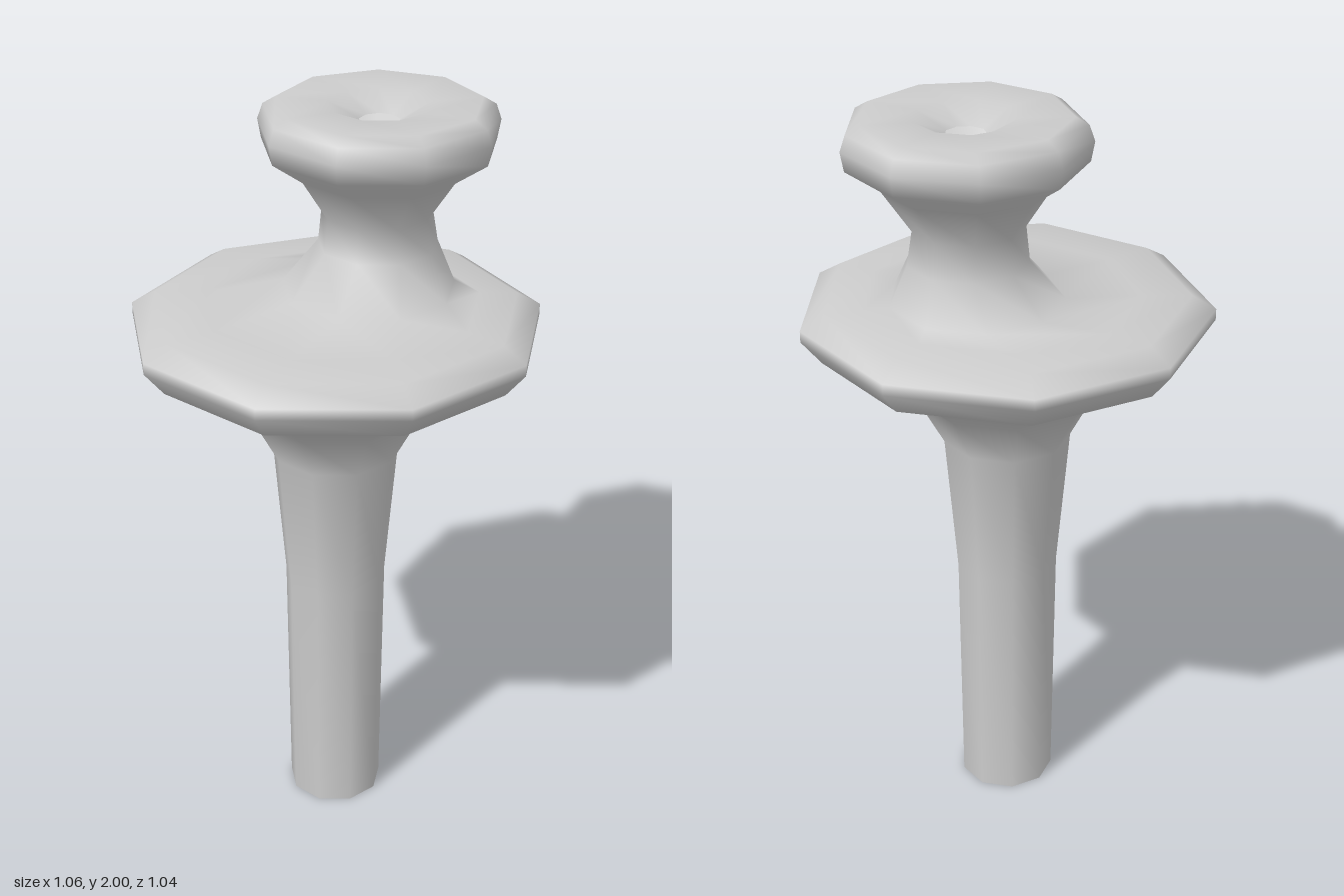
import * as THREE from 'three';
import { mergeVertices } from 'three/addons/utils/BufferGeometryUtils.js';

const SIDES = 9;

// Rings from bottom to top: [radius, height, sideways shift of the centre]
const RINGS = [
  // open stem
  [0.129, 0, 0], [0.137, 0.7, 0], [0.17, 1.09, 0],
  // flare and wide collar
  [0.24, 1.22, 0], [0.36, 1.32, 0], [0.485, 1.365, 0], [0.537, 1.43, 0],
  [0.537, 1.46, 0], [0.475, 1.497, 0], [0.36, 1.5, 0.02],
  // off-centre neck
  [0.225, 1.52, 0.11], [0.155, 1.63, 0.14], [0.143, 1.72, 0.136],
  // knob with a dished top and a small hole
  [0.215, 1.83, 0.138], [0.3, 1.89, 0.14], [0.309, 1.94, 0.14],
  [0.295, 1.98, 0.14], [0.262, 2, 0.14], [0.13, 1.995, 0.14], [0.052, 1.955, 0.14],
];

export function createModel() {
  const profile = RINGS.map(([r, y]) => new THREE.Vector2(r, y));
  let geometry = new THREE.LatheGeometry(profile, SIDES, Math.PI);

  // Slide each ring sideways so the neck and knob sit off-centre
  const pos = geometry.attributes.position;
  for (let i = 0; i < pos.count; i++) {
    pos.setX(i, pos.getX(i) + RINGS[i % RINGS.length][2]);
  }

  // Weld the seam so the shading is smooth all round
  geometry.deleteAttribute('uv');
  geometry.deleteAttribute('normal');
  geometry = mergeVertices(geometry, 1e-4);
  geometry.computeVertexNormals();

  const material = new THREE.MeshStandardMaterial({ color: 0xcccccc, side: THREE.DoubleSide });
  const body = new THREE.Mesh(geometry, material);
  body.name = 'turnedPeg';
  body.position.z = 0.014;

  const group = new THREE.Group();
  group.name = 'peg';
  group.add(body);
  return group;
}
